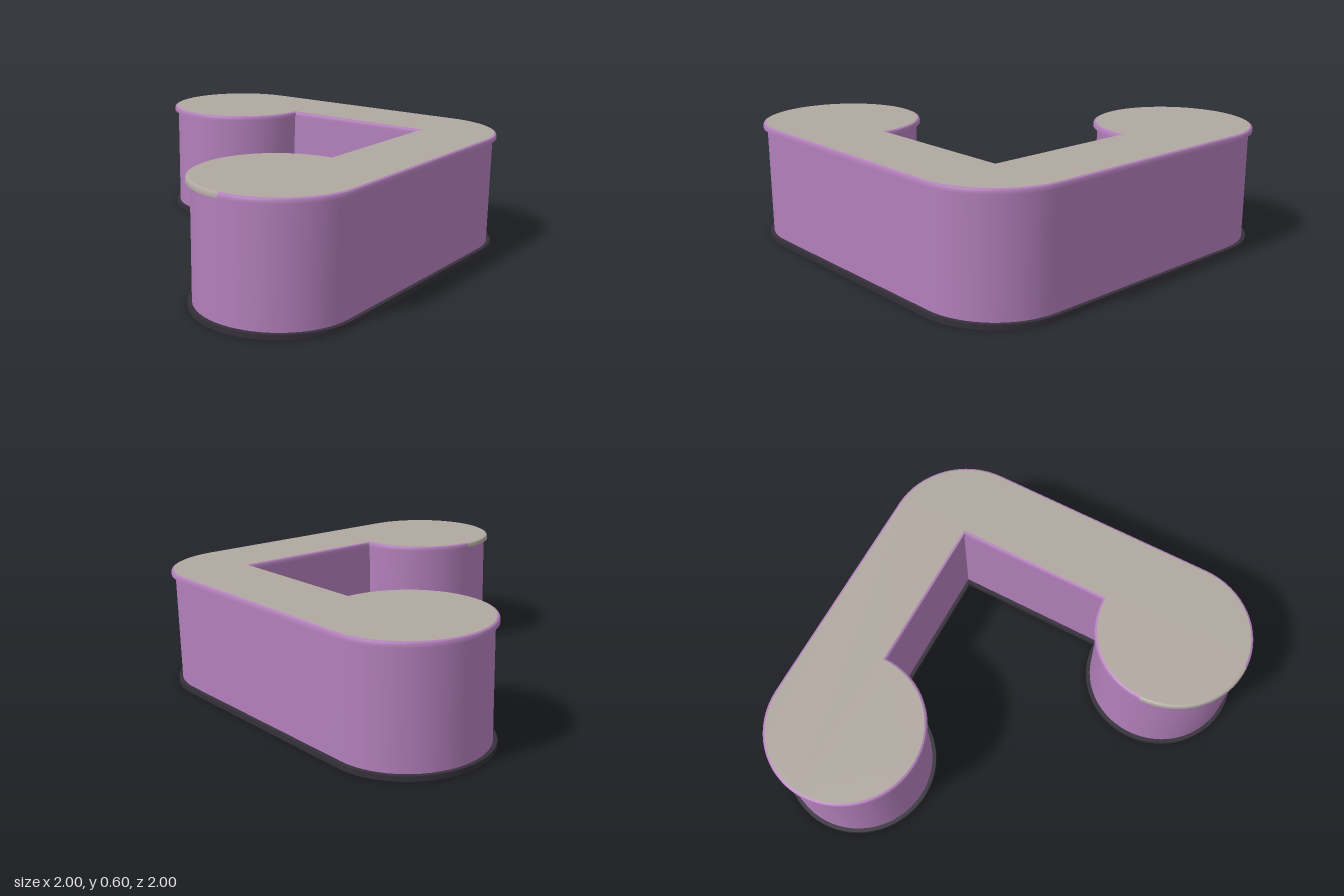
import * as THREE from 'three';
import { toCreasedNormals } from 'three/addons/utils/BufferGeometryUtils.js';

const QUARTER = 16; // segments per quarter circle
const R = 0.4;      // radius of the rounded ends and outer corner

// L-shaped plan with two round ends, inset by d; points are (x, z)
function outline(d) {
  const pts = [];
  const r = R - d;
  const arc = (cx, cz, from, to, n) => {
    for (let i = 0; i <= n; i++) {
      const a = from + (to - from) * i / n;
      pts.push(new THREE.Vector2(cx + r * Math.cos(a), cz + r * Math.sin(a)));
    }
  };
  const q = Math.PI / 2;
  const over = Math.asin(d / r); // the inset arc runs on to meet the inset inner edge
  arc(-0.6, 0.6, 2 * q, 3 * q, QUARTER);
  pts.pop();
  arc(-0.6, 0.6, 3 * q, 4 * q + over, QUARTER);
  pts.push(new THREE.Vector2(0.6 + d, 0.6 + d));
  arc(0.6, -0.6, q - over, 4 * q, QUARTER * 3);
  arc(0.6, 0.6, 0, q, QUARTER);
  arc(-0.6, 0.6, q, 2 * q, QUARTER);
  return pts;
}

// Sweeps a profile of [inset, height] pairs along the plan, between two point indices
function sweep(profile, start = 0, end = Infinity) {
  const rows = profile.map(([d, y]) => outline(d).map(p => new THREE.Vector3(p.x, y, p.y)));
  const last = Math.min(end, rows[0].length - 1);
  const tris = [];
  for (let j = 0; j < rows.length - 1; j++) {
    for (let i = start; i < last; i++) {
      const a = rows[j][i], b = rows[j + 1][i], c = rows[j][i + 1], e = rows[j + 1][i + 1];
      tris.push(a, b, c, c, b, e);
    }
  }
  return toCreasedNormals(new THREE.BufferGeometry().setFromPoints(tris), 0.6);
}

export function createModel() {
  const group = new THREE.Group();
  const paint = (color) => new THREE.MeshStandardMaterial({ color, side: THREE.DoubleSide });
  const purple = paint(0xb27fba), taupe = paint(0xb0a8a0), dark = paint(0x35303a);
  const add = (name, geometry, material) => {
    const mesh = new THREE.Mesh(geometry, material);
    mesh.name = name;
    group.add(mesh);
  };

  // Dark plinth strip round the open bottom
  add('baseTrim', sweep([[0.02, 0], [0, 0], [0, 0.025], [0.02, 0.025], [0.02, 0]]), dark);

  // Thin hollow wall
  add('wall', sweep([[0.02, 0.025], [0.02, 0.575]]), purple);

  // Overhanging edge of the top, with one quarter in the top's own colour
  const lip = [[0.02, 0.575], [0, 0.575], [0, 0.588], [0.004, 0.596], [0.013, 0.6]];
  add('topEdgeQuarter', sweep(lip, 0, QUARTER), taupe);
  add('topEdge', sweep(lip, QUARTER), purple);

  // Flat top panel
  const panel = new THREE.Shape(outline(0.013).map(p => new THREE.Vector2(p.x, -p.y)));
  add('topPanel', new THREE.ShapeGeometry(panel).rotateX(-Math.PI / 2).translate(0, 0.6, 0), taupe);

  return group;
}
